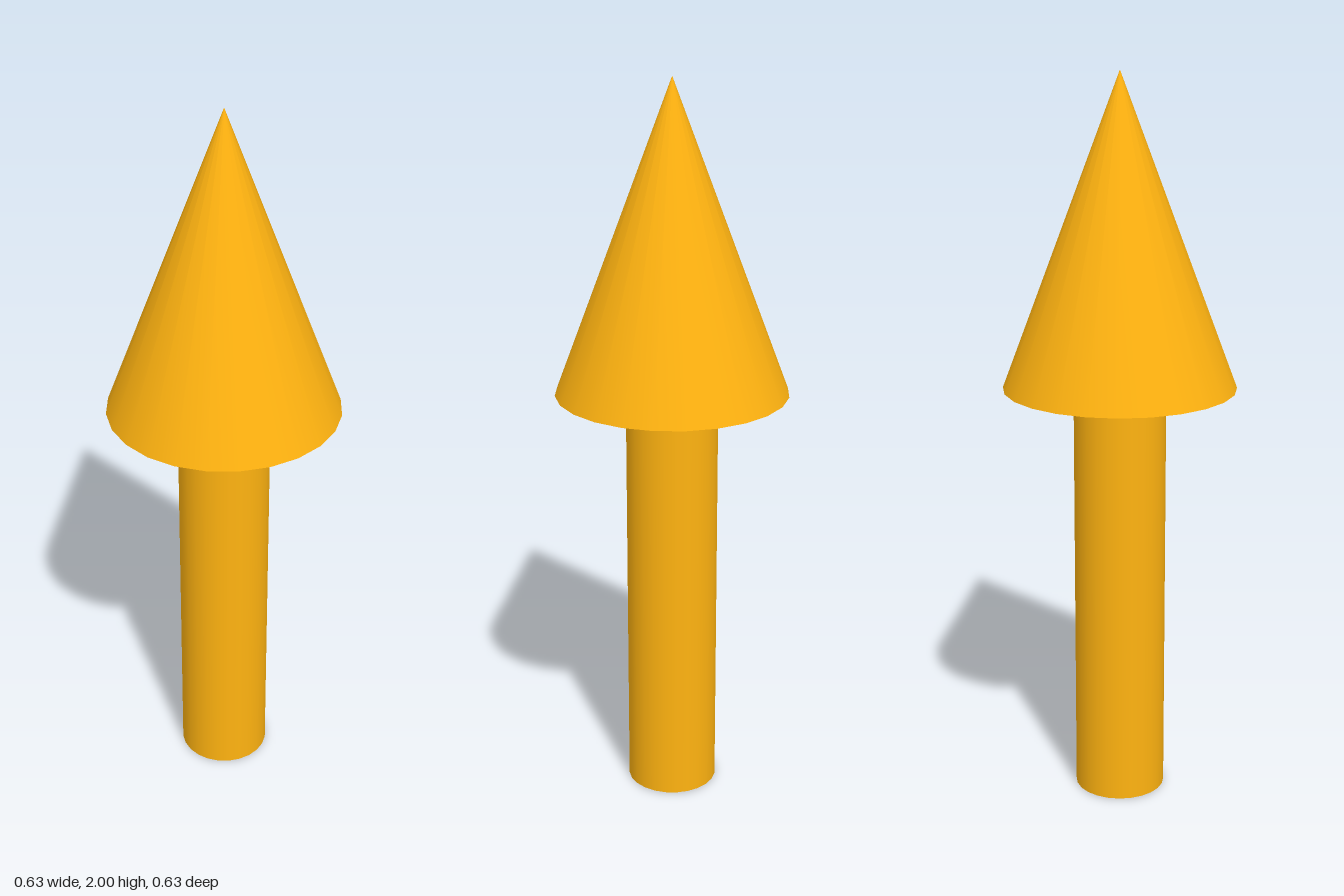
import * as THREE from 'three';

const SIDES = 24;
const SHAFT_RADIUS = 0.125;
const HEAD_RADIUS = 0.315;
const HEAD_BASE = 1.165;
const TOTAL_HEIGHT = 2;

export function createModel() {
  const model = new THREE.Group();
  model.name = 'arrow';
  const amber = new THREE.MeshStandardMaterial({ color: 0xffb310 });

  // Adds a smooth round part standing on height y
  const addPart = (name, geometry, y, height) => {
    const mesh = new THREE.Mesh(geometry, amber);
    mesh.name = name;
    mesh.position.y = y + height / 2;
    model.add(mesh);
  };

  // Straight cylindrical shaft, closed at the bottom
  addPart('shaft', new THREE.CylinderGeometry(SHAFT_RADIUS, SHAFT_RADIUS, HEAD_BASE, SIDES), 0, HEAD_BASE);

  // Pointed head with a flat underside
  const headHeight = TOTAL_HEIGHT - HEAD_BASE;
  addPart('arrowHead', new THREE.ConeGeometry(HEAD_RADIUS, headHeight, SIDES), HEAD_BASE, headHeight);

  return model;
}
